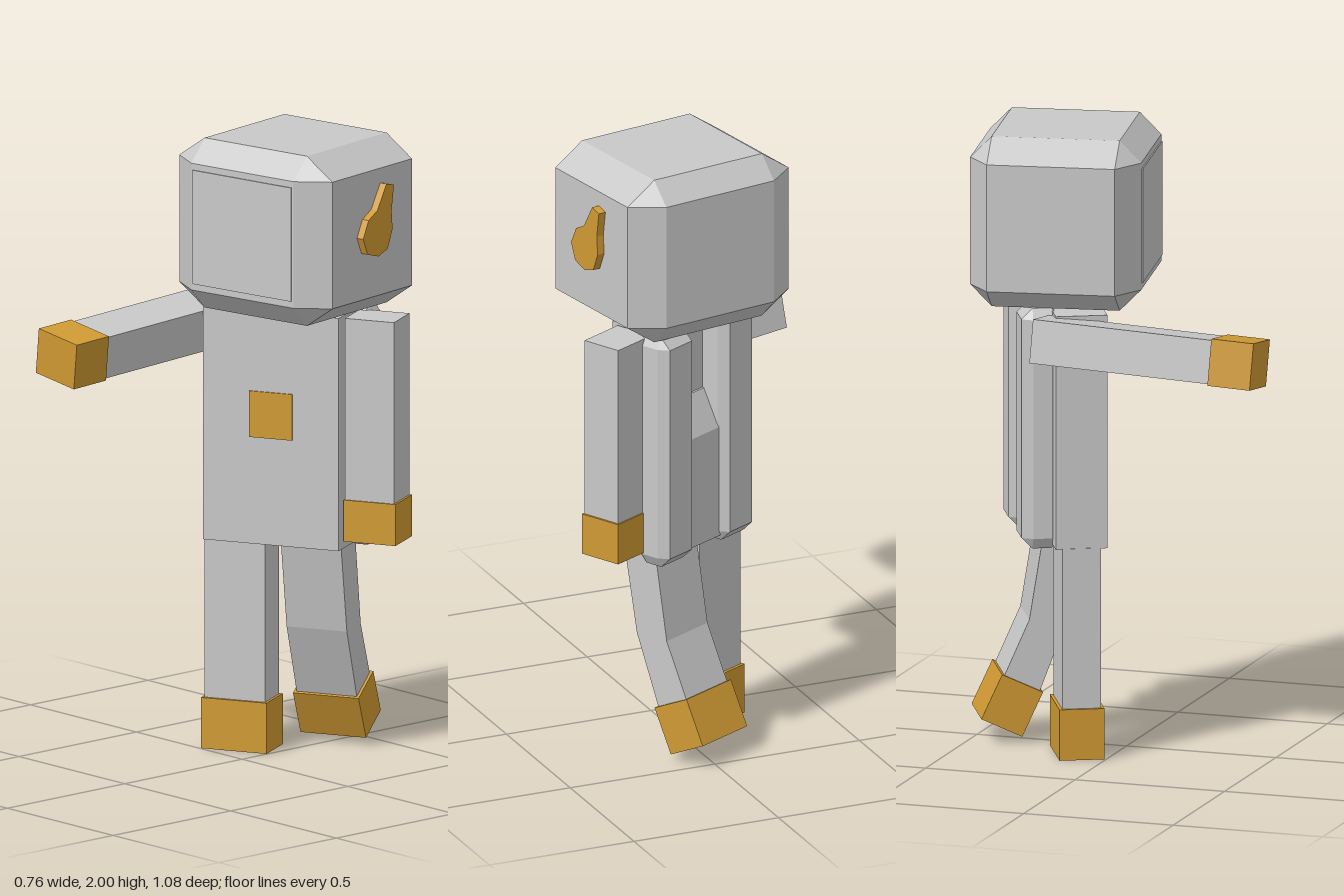
import * as THREE from 'three';
import { ConvexGeometry } from 'three/addons/geometries/ConvexGeometry.js';

const deg = THREE.MathUtils.degToRad;

export function createModel() {
  const suit = new THREE.MeshStandardMaterial({ color: 0xc8c8c8 });
  suit.name = 'suit grey';
  const trim = new THREE.MeshStandardMaterial({ color: 0xd09a33 });
  trim.name = 'trim gold';

  const model = new THREE.Group();
  model.name = 'walkingSuitFigure';

  function add(parent, name, geometry, material, x = 0, y = 0, z = 0) {
    const mesh = new THREE.Mesh(geometry, material);
    mesh.name = name;
    mesh.position.set(x, y, z);
    parent.add(mesh);
    return mesh;
  }
  const box = (w, h, d) => new THREE.BoxGeometry(w, h, d);

  // Box with all edges cut; h = half sizes, c = cut on each axis
  function chamferBox(h, c) {
    const points = [];
    for (const sx of [-1, 1]) for (const sy of [-1, 1]) for (const sz of [-1, 1]) {
      const s = [sx, sy, sz];
      for (let axis = 0; axis < 3; axis++) {
        const p = s.map((v, i) => v * (i === axis ? h[i] : h[i] - c[i]));
        points.push(new THREE.Vector3(...p));
      }
    }
    return new ConvexGeometry(points);
  }

  // Side profile of [z, y] points, extruded along +x
  function sideProfile(points, width) {
    const shape = new THREE.Shape(points.map(([z, y]) => new THREE.Vector2(-z, y)));
    return new THREE.ExtrudeGeometry(shape, { depth: width, bevelEnabled: false }).rotateY(Math.PI / 2);
  }

  // Head, turned slightly to its left
  const head = new THREE.Group();
  head.name = 'head';
  head.position.set(0.02, 1.724, -0.21);
  head.rotation.y = deg(10);
  model.add(head);
  add(head, 'helmet', chamferBox([0.307, 0.276, 0.274], [0.102, 0.07, 0.069]), suit);
  add(head, 'facePlate', box(0.395, 0.37, 0.006), suit, 0, 0, 0.275);
  const drop = [[0.078, 0], [0.05, 0.056], [0.005, 0.08], [-0.042, 0.158], [-0.08, 0.148],
    [-0.068, 0.066], [-0.073, 0.006], [-0.048, -0.054], [0, -0.07], [0.055, -0.054]];
  add(head, 'earPiece', sideProfile(drop, 0.03), trim, 0.302, 0, 0);

  // Body, turned further than the head
  const body = new THREE.Group();
  body.name = 'body';
  body.position.set(-0.0175, 0, -0.178);
  body.rotation.y = deg(27);
  model.add(body);
  add(body, 'torso', box(0.46, 0.757, 0.165), suit, 0, 1.0615, 0);
  add(body, 'neck', box(0.16, 0.05, 0.12), suit, 0.01, 1.45, 0);
  add(body, 'chestPanel', box(0.146, 0.15, 0.006), trim, 0, 1.105, 0.084);

  // Back pack: two tall tanks and a lower sloping panel between them
  for (const [name, x] of [['leftTank', 0.21], ['rightTank', -0.09]]) {
    add(body, name, chamferBox([0.075, 0.39, 0.065], [0.02, 0.035, 0.035]), suit, x, 1.06, -0.115);
  }
  add(body, 'packPanel',
    sideProfile([[-0.07, 0.69], [-0.07, 1.18], [-0.09, 1.18], [-0.15, 1.06], [-0.15, 0.69]], 0.17),
    suit, -0.025, 0, 0);

  // Hanging left arm
  add(body, 'leftArm', box(0.166, 0.595, 0.138), suit, 0.323, 1.1375, -0.015);
  add(body, 'leftHand', box(0.176, 0.135, 0.148), trim, 0.325, 0.7775, -0.015);

  // Straight right leg
  add(body, 'rightLeg', box(0.204, 0.525, 0.124), suit, -0.13, 0.4225, 0);
  add(body, 'rightFoot', box(0.222, 0.165, 0.144), trim, -0.13, 0.0825, 0);

  // Left leg, bent and swung back
  add(body, 'leftLeg',
    sideProfile([[0.042, 0.69], [-0.01, 0.4], [-0.098, 0.169], [-0.212, 0.221], [-0.132, 0.4], [-0.085, 0.69]], 0.204),
    suit, 0.018, 0, 0);
  const leftFoot = add(body, 'leftFoot', box(0.222, 0.157, 0.144), trim, 0.12, 0.125, -0.188);
  leftFoot.rotation.x = deg(25);

  // Right arm, reaching straight forward
  const rightArm = new THREE.Group();
  rightArm.name = 'rightArmGroup';
  rightArm.position.set(-0.293, 1.371, -0.192);
  rightArm.rotation.set(deg(2.5), deg(1.2), deg(-8));
  model.add(rightArm);
  add(rightArm, 'rightArm', box(0.166, 0.14, 0.6), suit, 0, 0, 0.3);
  add(rightArm, 'rightHand', box(0.176, 0.15, 0.14), trim, 0, 0, 0.664);

  return model;
}
